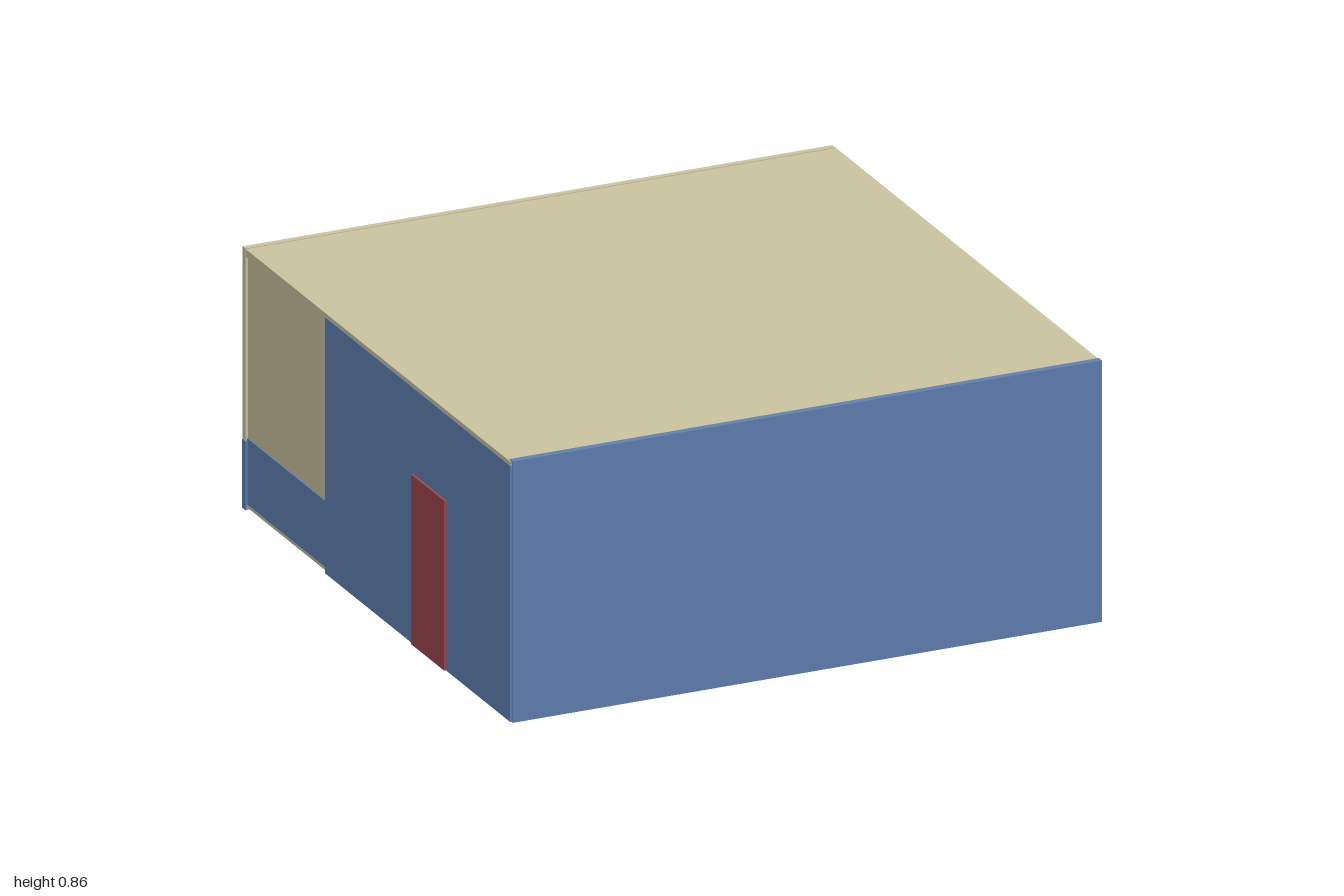
import * as THREE from 'three';

const material = (name, color) => {
  const m = new THREE.MeshStandardMaterial({ color });
  m.name = name;
  return m;
};

export function createModel() {
  const model = new THREE.Group();
  model.name = 'building';
  const cream = material('cream', 0xcac3a0);
  const blue = material('blue', 0x6080b3);
  const red = material('red', 0x9c464e);

  // Box given by its limits: [x0, x1], [y0, y1], [z0, z1]
  const slab = (name, mat, [x0, x1], [y0, y1], [z0, z1]) => {
    const mesh = new THREE.Mesh(new THREE.BoxGeometry(x1 - x0, y1 - y0, z1 - z0), mat);
    mesh.position.set((x0 + x1) / 2, (y0 + y1) / 2, (z0 + z1) / 2);
    mesh.name = name;
    model.add(mesh);
  };

  const dado = [0.012, 0.237]; // height of the painted lower band

  // Floor and roof; the floor stops short of the right wall
  slab('floor', cream, [-0.55, 0.99], [0, 0.012], [-0.93, 0.95]);
  slab('roof', cream, [-0.988, 0.994], [0.832, 0.857], [-0.962, 0.968]);

  // Front and back walls
  slab('frontWall', blue, [-0.984, 0.995], [0.002, 0.86], [0.952, 0.975]);
  slab('frontWallLining', cream, [-0.97, 0.97], [0.237, 0.832], [0.947, 0.952]);
  slab('frontWallDado', blue, [-0.54, 0.97], dado, [0.946, 0.952]);
  slab('frontWallBox', blue, [-0.2, 0], [0.32, 0.49], [0.93, 0.947]);
  slab('backWall', cream, [-0.99, 0.99], [0, 0.86], [-0.975, -0.955]);

  // Cross partition, with its lower band on the room side
  slab('partition', cream, [-0.98, 0.985], [0.002, 0.832], [-0.372, -0.345]);
  slab('partitionDado', blue, [-0.54, 0.97], dado, [-0.345, -0.339]);
  slab('partitionEnd', cream, [0.985, 0.994], [0.232, 0.832], [-0.374, -0.341]);
  slab('partitionEndBand', blue, [0.985, 0.994], [0.008, 0.232], [-0.374, -0.341]);

  // Inner lengthwise wall behind the doorway
  slab('innerWall', cream, [-0.57, -0.55], [0.002, 0.832], [-0.345, 0.95]);
  slab('innerWallDado', blue, [-0.55, -0.544], dado, [-0.339, 0.946]);

  // Left wall with an open doorway next to the front
  slab('leftWall', cream, [0.955, 0.977], [0.005, 0.832], [-0.345, 0.682]);
  slab('doorwayHeader', cream, [0.955, 0.977], [0.71, 0.832], [0.682, 0.952]);

  // Rear end walls on both sides, cream above and blue below
  for (const side of [-1, 1]) {
    const span = (a, b) => [side * a, side * b].sort((p, q) => p - q);
    slab('rearSideWall', cream, span(0.962, 0.98), [0.005, 0.85], [-0.958, -0.372]);
    slab('rearSideBand', blue, span(0.98, 0.985), [0.02, 0.237], [-0.968, -0.374]);
    slab('rearCornerBand', blue, span(0.985, 0.992), [0.004, 0.228], [-0.975, -0.95]);
  }

  // Right wall: blue outside, cream inside, with a red door
  slab('rightWall', cream, [-0.984, -0.968], [0.005, 0.85], [-0.372, 0.972]);
  slab('rightWallPaint', blue, [-0.991, -0.984], [0.005, 0.845], [-0.372, 0.972]);
  slab('door', red, [-1, -0.991], [0.008, 0.565], [0.27, 0.51]);

  return model;
}
